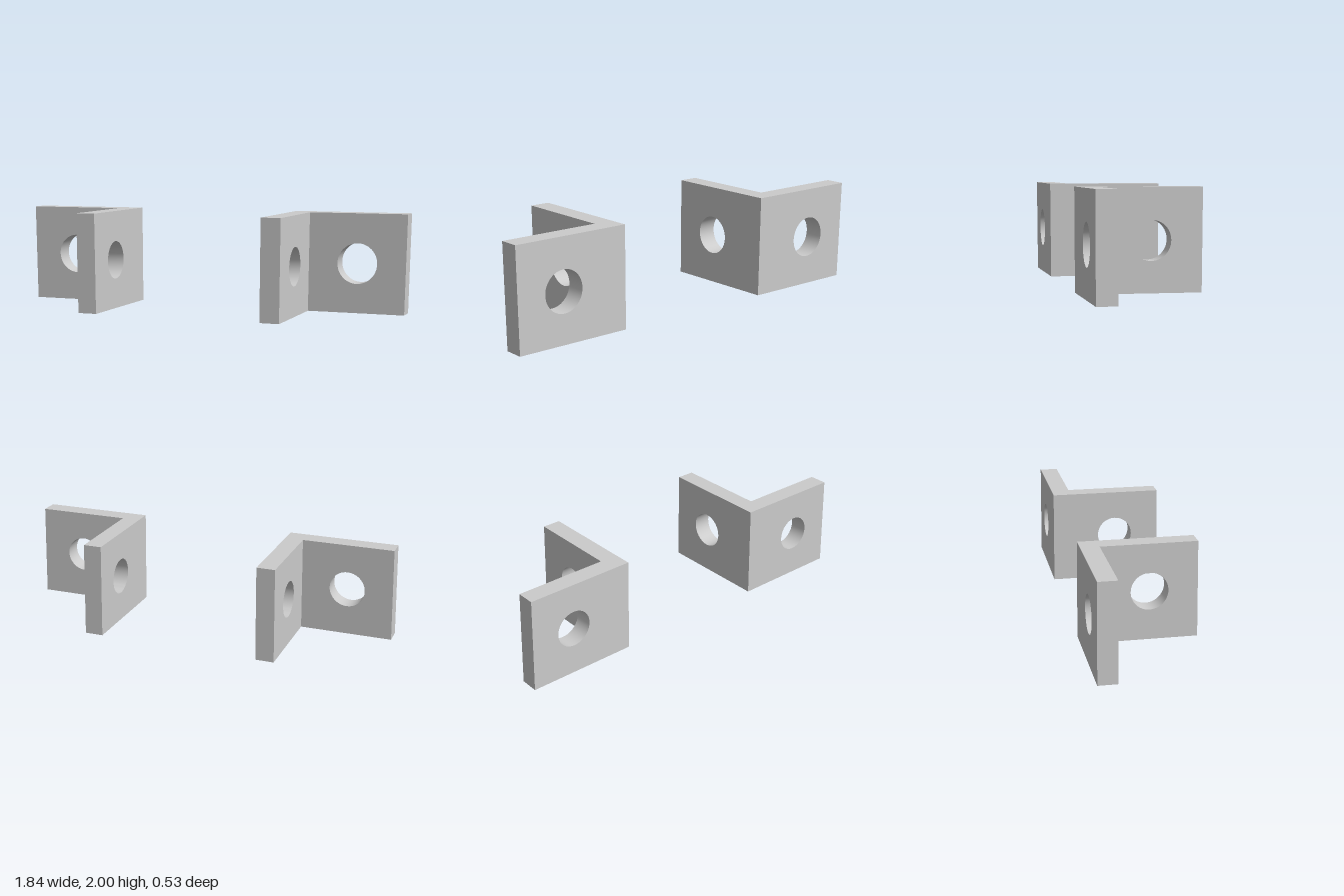
import * as THREE from 'three';
import { toCreasedNormals } from 'three/addons/utils/BufferGeometryUtils.js';

const THICK = 0.088, HEIGHT = 0.446;
const INNER = 0.387, OUTER = 0.92;   // x reach of a bracket
const BACK = -0.267, FRONT = 0.267;  // z reach of a bracket

const material = new THREE.MeshStandardMaterial({ color: 0xcccccc });

// Flat plate from u0 to u1 with a round bolt hole, extruded along +z
function plate(u0, u1, holeU, holeY, radius) {
  const shape = new THREE.Shape();
  shape.moveTo(u0, 0);
  shape.lineTo(u1, 0);
  shape.lineTo(u1, HEIGHT);
  shape.lineTo(u0, HEIGHT);
  shape.closePath();
  const hole = new THREE.Path();
  hole.absarc(holeU, holeY, radius, 0, Math.PI * 2, true);
  shape.holes.push(hole);
  const geometry = new THREE.ExtrudeGeometry(shape, { depth: THICK, bevelEnabled: false, curveSegments: 24 });
  return toCreasedNormals(geometry, 0.6);
}

// L-shaped bracket: a back flange facing the front and a side flange reaching forward
function bracket(side, holeY, backRadius) {
  const group = new THREE.Group();

  const [x0, x1] = side > 0 ? [INNER, OUTER] : [-OUTER, -INNER];
  const back = new THREE.Mesh(plate(x0, x1, side * 0.699, holeY, backRadius), material);
  back.geometry.translate(0, 0, BACK);
  back.name = 'backFlange';

  const sideGeometry = plate(BACK + THICK, FRONT, 0.046, holeY, 0.086);
  sideGeometry.rotateY(-Math.PI / 2); // u runs along +z, thickness along -x
  sideGeometry.translate(side > 0 ? INNER + THICK : -INNER, 0, 0);
  const flange = new THREE.Mesh(sideGeometry, material);
  flange.name = 'sideFlange';

  group.add(back, flange);
  return group;
}

export function createModel() {
  const model = new THREE.Group();
  model.name = 'cornerBrackets';
  const levels = [
    { name: 'lower', y: 0, holeY: 0.225, radius: 0.086 },
    { name: 'upper', y: 2 - HEIGHT, holeY: 0.223, radius: 0.091 },
  ];
  for (const level of levels) {
    for (const side of [-1, 1]) {
      const part = bracket(side, level.holeY, level.radius);
      part.name = level.name + (side > 0 ? 'Left' : 'Right') + 'Bracket';
      part.position.y = level.y;
      model.add(part);
    }
  }
  return model;
}
